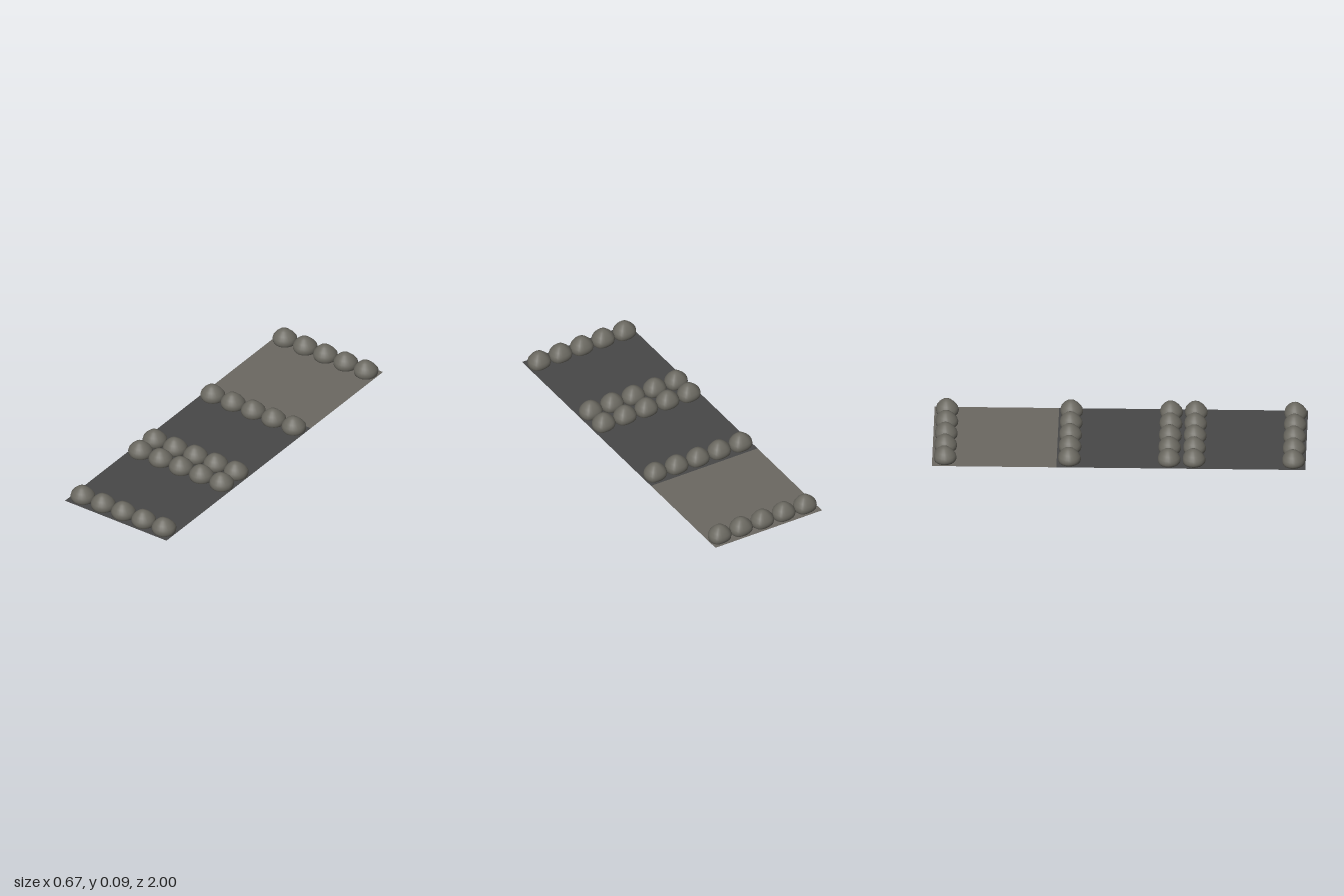
import * as THREE from 'three';
import { mergeVertices } from 'three/addons/utils/BufferGeometryUtils.js';

const paving = new THREE.MeshStandardMaterial({ color: 0x6b6862, side: THREE.DoubleSide });
paving.name = 'warm grey paving';
const asphalt = new THREE.MeshStandardMaterial({ color: 0x484848, side: THREE.DoubleSide });
asphalt.name = 'dark asphalt';
const stone = new THREE.MeshStandardMaterial({ color: 0x6b6961 });
stone.name = 'boulder stone';

// One boulder: a turned dome pushed out to an uneven plan outline
function boulderGeometry() {
  // plan radii from +x towards +z, every 45 degrees
  const radii = [0.066, 0.063, 0.064, 0.064, 0.066, 0.063, 0.058, 0.069];
  const outline = new THREE.CatmullRomCurve3(radii.map((r, i) => {
    const a = i * Math.PI / 4;
    return new THREE.Vector3(r * Math.cos(a), 0, r * Math.sin(a));
  }), true);
  const profile = [
    [0, 0.002], [0.5, 0.002], [0.83, 0.004], [0.95, 0.011], [0.99, 0.022], [1, 0.034],
    [0.94, 0.048], [0.73, 0.067], [0.42, 0.085], [0.18, 0.091], [0, 0.094],
  ].map(([s, y]) => new THREE.Vector2(s, y));
  let g = new THREE.LatheGeometry(profile, 24);
  const p = g.attributes.position;
  const v = new THREE.Vector3();
  for (let i = 0; i < p.count; i++) {
    v.fromBufferAttribute(p, i);
    const s = Math.hypot(v.x, v.z);
    const t = (Math.atan2(v.z, v.x) / (2 * Math.PI) + 1) % 1;
    const o = outline.getPoint(t);
    // the underside rises a little towards -x
    const lift = v.y < 0.03 ? 0.005 * (1 - v.x) * s * (1 - v.y / 0.03) : 0;
    p.setXYZ(i, o.x * s, Math.max(0, v.y + lift - 0.002 * (v.y < 0.01 ? 1 : 0)), o.z * s);
  }
  g.deleteAttribute('uv');
  g.deleteAttribute('normal');
  g = mergeVertices(g, 1e-5);
  g.computeVertexNormals();
  return g;
}

export function createModel() {
  const model = new THREE.Group();
  const tile = 2 / 3;

  // Three square ground tiles in a row
  [['backTile', paving], ['middleTile', asphalt], ['frontTile', asphalt]].forEach(([name, mat], i) => {
    const mesh = new THREE.Mesh(new THREE.PlaneGeometry(tile, tile).rotateX(-Math.PI / 2), mat);
    mesh.name = name;
    mesh.position.set(0, 0.01, (i - 1) * tile);
    model.add(mesh);
  });

  // Five boulders across in each row
  const geometry = boulderGeometry();
  [-0.933, -0.267, 0.267, 0.4, 0.933].forEach((z, row) => {
    const group = new THREE.Group();
    group.name = 'boulderRow' + (row + 1);
    for (let i = -2; i <= 2; i++) {
      const mesh = new THREE.Mesh(geometry, stone);
      mesh.name = 'boulder';
      mesh.position.set(i * tile / 5, 0, z);
      group.add(mesh);
    }
    model.add(group);
  });
  return model;
}
